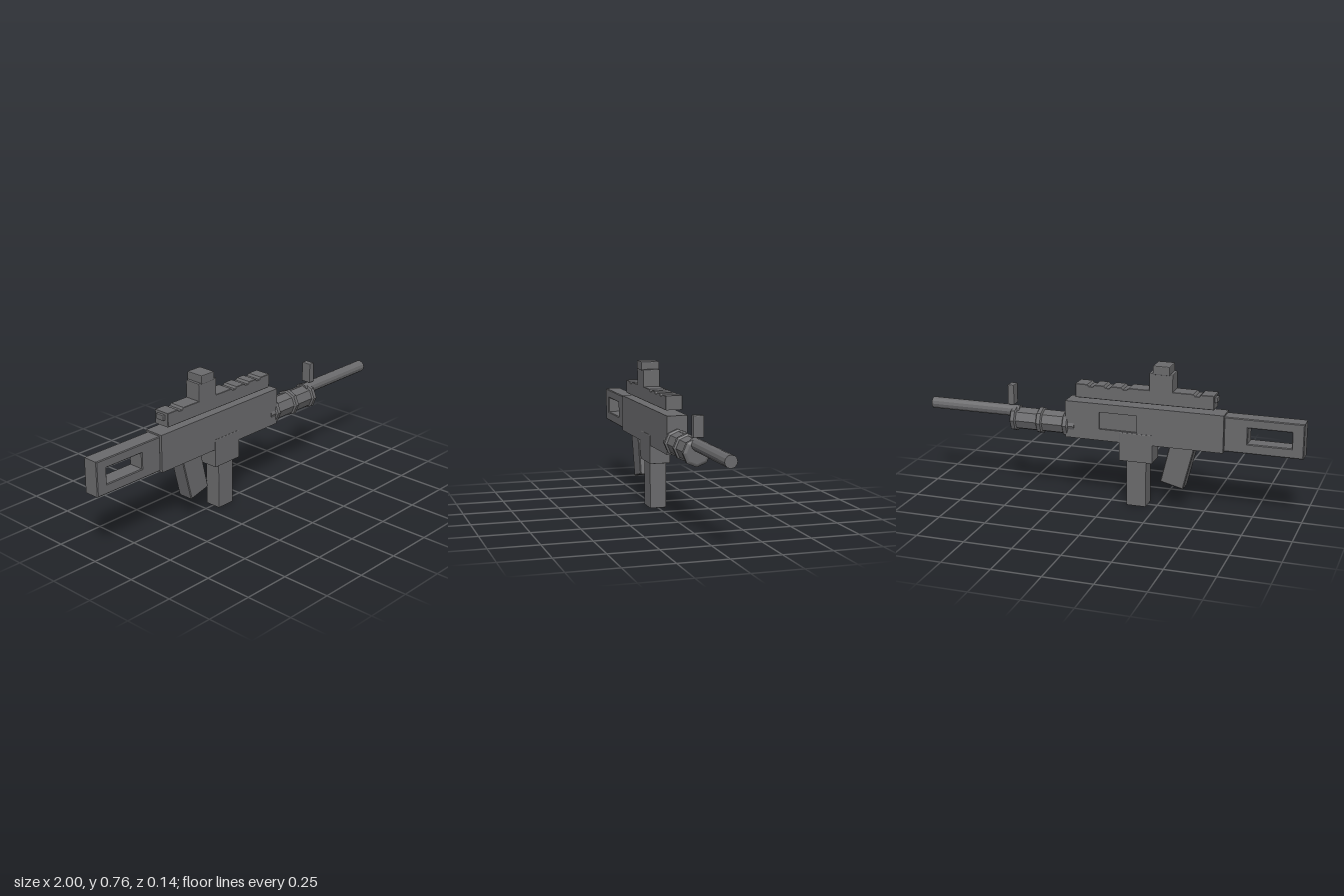
import * as THREE from 'three';
import { RoundedBoxGeometry } from 'three/addons/geometries/RoundedBoxGeometry.js';

const material = new THREE.MeshStandardMaterial({ color: 0x6a6a6c, flatShading: true });
const BEVEL = 0.004;

export function createModel() {
  const model = new THREE.Group();

  const add = (name, geometry) => {
    const mesh = new THREE.Mesh(geometry, material);
    mesh.name = name;
    model.add(mesh);
  };

  // Softly chamfered block from its x and y limits and half depth
  const block = (name, x0, x1, y0, y1, halfZ) => {
    const g = new RoundedBoxGeometry(x1 - x0, y1 - y0, halfZ * 2, 1, BEVEL);
    add(name, g.translate((x0 + x1) / 2, (y0 + y1) / 2, 0));
  };

  const toPoints = list => list.map(([x, y]) => new THREE.Vector2(x, y));
  const rect = (x0, x1, y0, y1) => [[x0, y0], [x1, y0], [x1, y1], [x0, y1]];

  // Side profile extruded between two depths, with an optional opening
  const plate = (name, outline, z0, z1, opening, bevel = BEVEL) => {
    const shape = new THREE.Shape(toPoints(outline));
    if (opening) shape.holes.push(new THREE.Path(toPoints(opening)));
    const g = new THREE.ExtrudeGeometry(shape, {
      depth: z1 - z0 - 2 * bevel, bevelEnabled: bevel > 0,
      bevelSize: bevel, bevelThickness: bevel, bevelOffset: -bevel, bevelSegments: 1,
    });
    add(name, g.translate(0, 0, z0 + bevel));
  };

  // Stock with a through opening
  plate('stock', rect(-1, -0.6, 0.348, 0.527), -0.043, 0.043, rect(-0.94, -0.72, 0.398, 0.48));

  // Receiver: core plus a back plate whose opening forms a shallow port recess
  const side = rect(-0.6, 0.232, 0.34, 0.535);
  plate('receiver', side, -0.042, 0.053, null, 0);
  plate('portPlate', side, -0.053, -0.042, rect(-0.15, 0.05, 0.4, 0.49), 0);

  // Lower parts
  plate('grip', [[-0.395, 0.12], [-0.275, 0.15], [-0.325, 0.36], [-0.455, 0.36]], -0.043, 0.043);
  block('magazineWell', -0.235, -0.058, 0.243, 0.395, 0.055);
  block('magazine', -0.2, -0.095, 0, 0.26, 0.044);

  // Top rail with shallow slanted notches
  const railTop = 0.628;
  const rail = [[-0.546, 0.556], [0.178, 0.556], [0.178, railTop]];
  for (const x of [0.095, 0.008, -0.085, -0.46]) {
    rail.push([x + 0.02, railTop], [x + 0.01, railTop - 0.01],
      [x - 0.01, railTop - 0.01], [x - 0.02, railTop]);
  }
  rail.push([-0.546, railTop]);
  plate('rail', rail, -0.044, 0.044, null, 0.002);
  block('railEndStop', -0.56, -0.53, 0.588, 0.616, 0.025);

  // Sights
  block('sightBase', -0.335, -0.212, 0.61, 0.718, 0.044);
  block('sightCap', -0.32, -0.232, 0.712, 0.758, 0.049);
  block('frontSight', 0.526, 0.561, 0.475, 0.582, 0.027);

  // Octagonal handguard with three raised bands
  const body = 0.06, band = 0.07;
  const profile = [[0, 0.185], [body, 0.185]];
  for (const x of [0.235, 0.38, 0.525]) {
    profile.push([body, x - 0.016], [band, x - 0.01], [band, x + 0.01], [body, x + 0.016]);
  }
  profile.push([0.054, 0.543], [0, 0.543]);
  const guard = new THREE.LatheGeometry(toPoints(profile), 8);
  add('handguard', guard.rotateZ(-Math.PI / 2).translate(0, 0.4, 0));

  // Barrel
  const barrel = new THREE.CylinderGeometry(0.031, 0.031, 0.5, 12);
  add('barrel', barrel.rotateZ(-Math.PI / 2).translate(0.75, 0.438, 0));

  return model;
}
